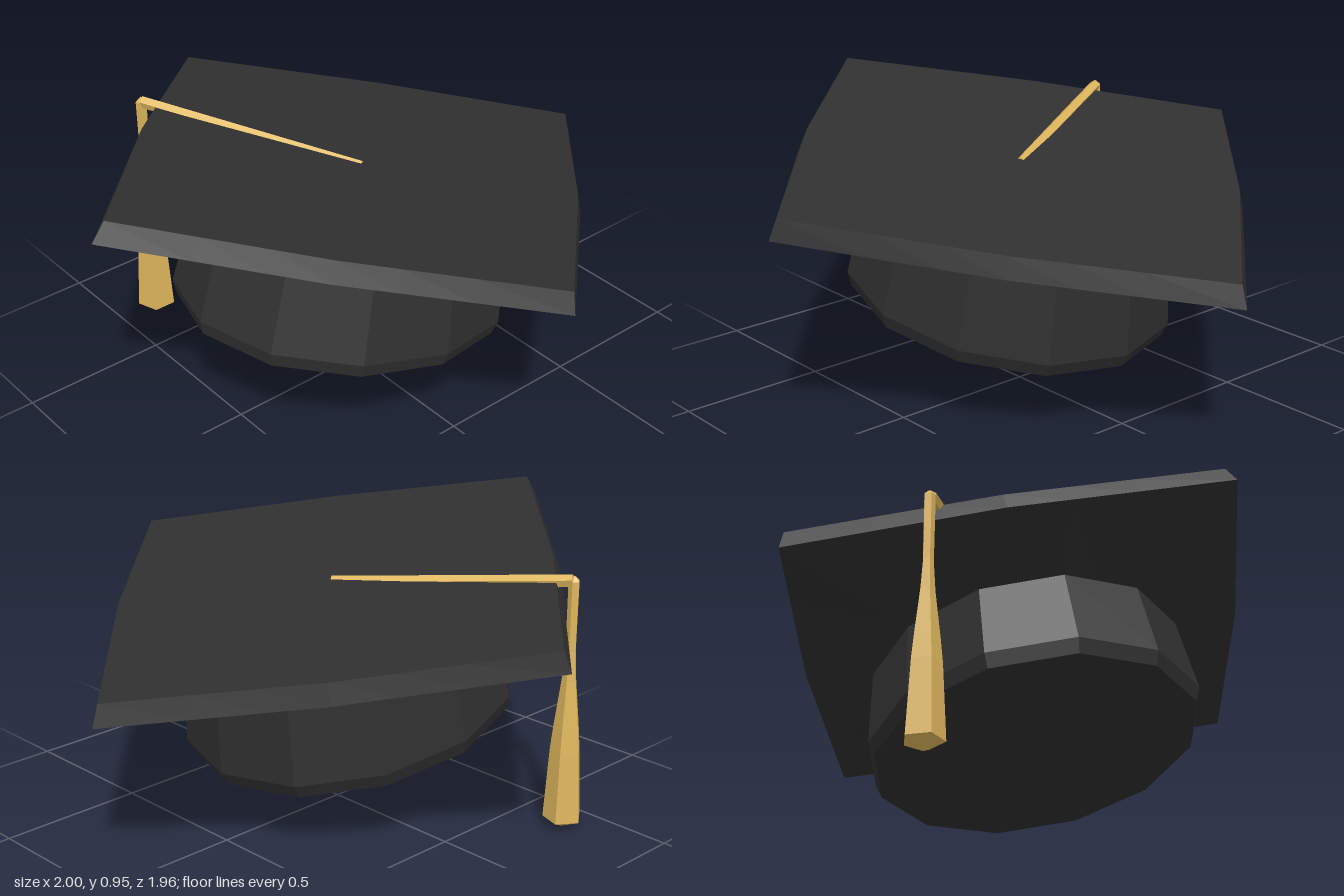
import * as THREE from 'three';

const TILT = THREE.MathUtils.degToRad(-10);
const CAP_Y = 0.78;

// Faceted look: every face gets its own normal
function faceted(geometry) {
  const g = geometry.toNonIndexed();
  g.computeVertexNormals();
  return g;
}

function lathe(points, sides, start = 0) {
  return new THREE.LatheGeometry(points.map(([r, y]) => new THREE.Vector2(r, y)), sides, start);
}

function addMesh(parent, name, geometry, material) {
  const mesh = new THREE.Mesh(geometry, material);
  mesh.name = name;
  parent.add(mesh);
  return mesh;
}

// Square with slightly bowed sides, corners on the axes, as a polar radius
function bowedSquare(angle) {
  const quarter = Math.PI / 2, eighth = Math.PI / 4, mid = 0.737;
  let t = ((angle % quarter) + quarter) % quarter;
  if (t > eighth) t = quarter - t;
  return (mid * Math.sin(eighth)) / (Math.sin(t) + mid * Math.sin(eighth - t));
}

// Regular twelve-sided outline as a polar radius
function twelveSided(angle) {
  const step = Math.PI / 6;
  const t = ((angle % step) + step) % step;
  return Math.cos(step / 2) / Math.cos(t - step / 2);
}

// Board: rings from the band's top edge, out to the rim, and in across the top
function boardGeometry() {
  const rings = [
    { y: -0.178, x: 0.55, z: 0.49, outline: twelveSided },
    { y: -0.065, x: 1.015, z: 0.98, outline: bowedSquare },
    { y: 0.004, x: 0.98, z: 0.958, outline: bowedSquare },
    { y: 0.004, x: 0, z: 0, outline: bowedSquare },
  ];
  const sides = 24;
  const g = lathe(rings.map(r => [1, r.y]), sides);
  const pos = g.attributes.position;
  for (let i = 0; i < pos.count; i++) {
    const ring = rings[i % rings.length];
    const angle = (Math.floor(i / rings.length) / sides) * Math.PI * 2;
    const r = ring.outline(angle);
    pos.setXYZ(i, Math.sin(angle) * r * ring.x, ring.y, Math.cos(angle) * r * ring.z);
  }
  return faceted(g);
}

export function createModel() {
  const model = new THREE.Group();
  model.name = 'graduationCap';

  const black = new THREE.MeshStandardMaterial({ color: 0x303030 });
  black.name = 'black cloth';
  const gold = new THREE.MeshStandardMaterial({ color: 0xdeb65c });
  gold.name = 'gold thread';

  // Tilted cap
  const cap = new THREE.Group();
  cap.name = 'cap';
  cap.position.set(0.015, CAP_Y, 0);
  cap.rotation.z = TILT;
  model.add(cap);

  addMesh(cap, 'board', boardGeometry(), black);

  // Head band: flares downward, with a small bevel and closed underside
  const band = lathe([[0, -0.488], [0.569, -0.488], [0.587, -0.44], [0.55, -0.178]], 12);
  band.scale(1, 1, 0.895);
  addMesh(cap, 'headBand', faceted(band), black);

  // Cord lying on the board, from the centre to the edge
  const start = new THREE.Vector3(0.015, 0.77, 0.01);
  const end = new THREE.Vector3(-0.362, 0.85, -0.685);
  const cordGeometry = new THREE.CylinderGeometry(0.021, 0.021, start.distanceTo(end), 5, 1, false, Math.PI);
  cordGeometry.rotateX(Math.PI / 2);
  const cord = addMesh(model, 'cord', faceted(cordGeometry), gold);
  cord.position.lerpVectors(start, end, 0.5);
  cord.lookAt(end);

  // Hanging cord widening into the tassel
  const tassel = addMesh(model, 'tassel', faceted(lathe([
    [0, 0.003], [0.066, 0.035], [0.052, 0.28], [0.044, 0.36],
    [0.025, 0.52], [0.018, 0.62], [0.019, 0.85], [0, 0.868],
  ], 5, Math.PI)), gold);
  tassel.position.set(-0.364, 0, -0.689);

  return model;
}
